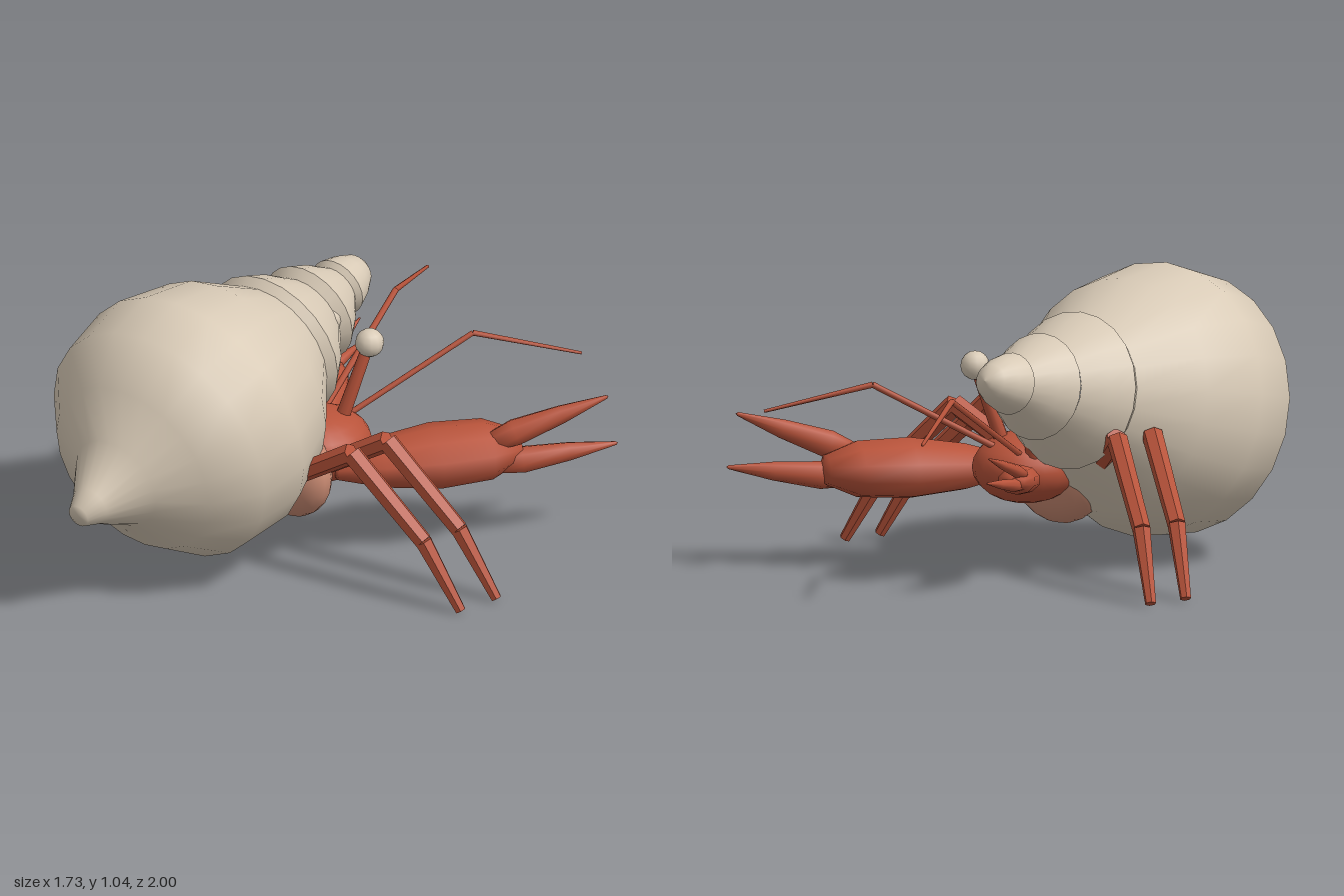
import * as THREE from 'three';

const mat = (name, color) => Object.assign(new THREE.MeshStandardMaterial({ color }), { name });
const V = (p) => new THREE.Vector3(...p);

export function createModel() {
  const model = new THREE.Group();
  model.name = 'hermitCrab';
  const shellCream = mat('shellCream', 0xd8cab6);
  const crabRed = mat('crabRed', 0xb8533a);
  const softFlesh = mat('softFlesh', 0xc98a72);

  const add = (name, geometry, material, parent = model) => {
    const mesh = new THREE.Mesh(geometry, material);
    mesh.name = name;
    parent.add(mesh);
    return mesh;
  };

  // Lathe from point a to point b; profile is [radius, fraction along the axis]
  const spindle = (name, a, b, profile, material, { sides = 10, depth = 1, flat = false, parent = model } = {}) => {
    const from = V(a), axis = V(b).sub(from), length = axis.length();
    axis.normalize();
    const side = new THREE.Vector3(0, 1, 0).cross(axis).normalize();
    const up = side.clone().cross(axis);
    let g = new THREE.LatheGeometry(profile.map(([r, t]) => new THREE.Vector2(r, t * length)), sides);
    g.scale(1, 1, depth);
    if (flat) {
      g = g.toNonIndexed();
      g.computeVertexNormals();
    }
    g.applyMatrix4(new THREE.Matrix4().makeBasis(side, axis, up).setPosition(from));
    return add(name, g, material, parent);
  };

  const ellipsoid = (name, center, radii, material, parent = model, w = 20, h = 12) => {
    const g = new THREE.SphereGeometry(1, w, h);
    g.scale(...radii);
    g.translate(...center);
    return add(name, g, material, parent);
  };

  // Tapered limb through several joints
  const limb = (name, points, radii, sides, flat, parent) => {
    for (let i = 0; i < points.length - 1; i++) {
      spindle(name + (i + 1), points[i], points[i + 1],
        [[0, 0], [radii[i], 0], [radii[i + 1], 1], [0, 1]], crabRed, { sides, flat, parent });
    }
  };

  // Shell: body whorl and stepped spire share one slanted axis
  const shell = new THREE.Group();
  shell.name = 'shell';
  model.add(shell);
  const shellStart = [0.09, 0.42, 1], shellEnd = [-0.32, 0.77, -0.61];
  const whorls = {
    bodyWhorl: [[0, 0.985], [0.042, 0.985], [0.075, 0.92], [0.176, 0.775], [0.335, 0.68], [0.465, 0.53],
      [0.487, 0.34], [0.415, 0.125], [0.25, -0.09]],
    spireWhorl1: [[0.23, -0.03], [0.28, -0.113]],
    spireWhorl1Slope: [[0.28, -0.113], [0.235, -0.19], [0.165, -0.275]],
    spireWhorl2: [[0.15, -0.26], [0.19, -0.31]],
    spireWhorl2Slope: [[0.19, -0.31], [0.15, -0.38], [0.09, -0.455]],
    spireWhorl3: [[0.08, -0.435], [0.11, -0.47]],
    spireTip: [[0.11, -0.47], [0.09, -0.53], [0.062, -0.58], [0.03, -0.605], [0, -0.613]],
  };
  for (const [name, rings] of Object.entries(whorls)) {
    spindle(name, shellStart, shellEnd, rings.map(([r, z]) => [r, (1 - z) / 1.61]),
      shellCream, { sides: 22, parent: shell });
  }

  // Soft abdomen at the shell mouth, and head
  ellipsoid('abdomen', [0.05, 0.33, 0.03], [0.23, 0.19, 0.115], softFlesh);
  ellipsoid('head', [0.045, 0.36, -0.12], [0.185, 0.13, 0.2], crabRed);

  // Eyes, antennae and two walking legs on each side
  for (const s of [1, -1]) {
    const half = new THREE.Group();
    half.name = s > 0 ? 'leftLimbs' : 'rightLimbs';
    model.add(half);
    limb('eyeStalk', [[s * 0.08, 0.42, -0.19], [s * 0.12, 0.72, -0.288]], [0.028, 0.022], 8, false, half);
    ellipsoid('eye', [s * 0.12, 0.73, -0.295], [0.052, 0.052, 0.052], shellCream, half, 12, 8);
    limb('antenna', [[s * 0.04, 0.41, -0.2], [s * 0.22, 0.69, -0.68], [s * 0.44, 0.6, -0.995]],
      [0.012, 0.011, 0.006], 6, false, half);
    for (const dz of [0, 0.16]) {
      limb('leg', [[s * 0.2, 0.36, -0.01 + dz], [s * 0.45, 0.525, -0.115 + dz],
        [s * 0.72, 0.25, -0.225 + dz], [s * 0.85, 0.008, -0.29 + dz]],
        [0.036, 0.038, 0.033, 0.02], 6, true, half);
    }
  }

  // Claws: swollen palm with an upper and a lower finger
  const palm = [[0, 0], [0.055, 0.01], [0.115, 0.25], [0.152, 0.55], [0.14, 0.83], [0.075, 1], [0, 1.01]];
  const finger = [[0, 0], [0.035, 0], [0.05, 0.2], [0.034, 0.6], [0.007, 0.98], [0, 1]];
  const claw = (name, base, end, size, tips) => {
    const parent = new THREE.Group();
    parent.name = name;
    model.add(parent);
    const scaled = (profile) => profile.map(([r, t]) => [r * size, t]);
    spindle('palm', base, end, scaled(palm), crabRed, { depth: 0.72, parent });
    tips.forEach(([from, to], i) =>
      spindle(i ? 'lowerFinger' : 'upperFinger', from, to, scaled(finger), crabRed, { sides: 8, parent }));
  };
  claw('largeClaw', [0.2, 0.335, -0.07], [0.48, 0.35, -0.68], 1, [
    [[0.48, 0.4, -0.56], [0.69, 0.55, -0.92]],
    [[0.49, 0.31, -0.58], [0.7, 0.36, -0.955]],
  ]);
  claw('smallClaw', [-0.04, 0.34, -0.19], [-0.35, 0.4, -0.5], 0.48, [
    [[-0.34, 0.42, -0.45], [-0.41, 0.51, -0.67]],
    [[-0.34, 0.38, -0.46], [-0.4, 0.42, -0.67]],
  ]);

  return model;
}
